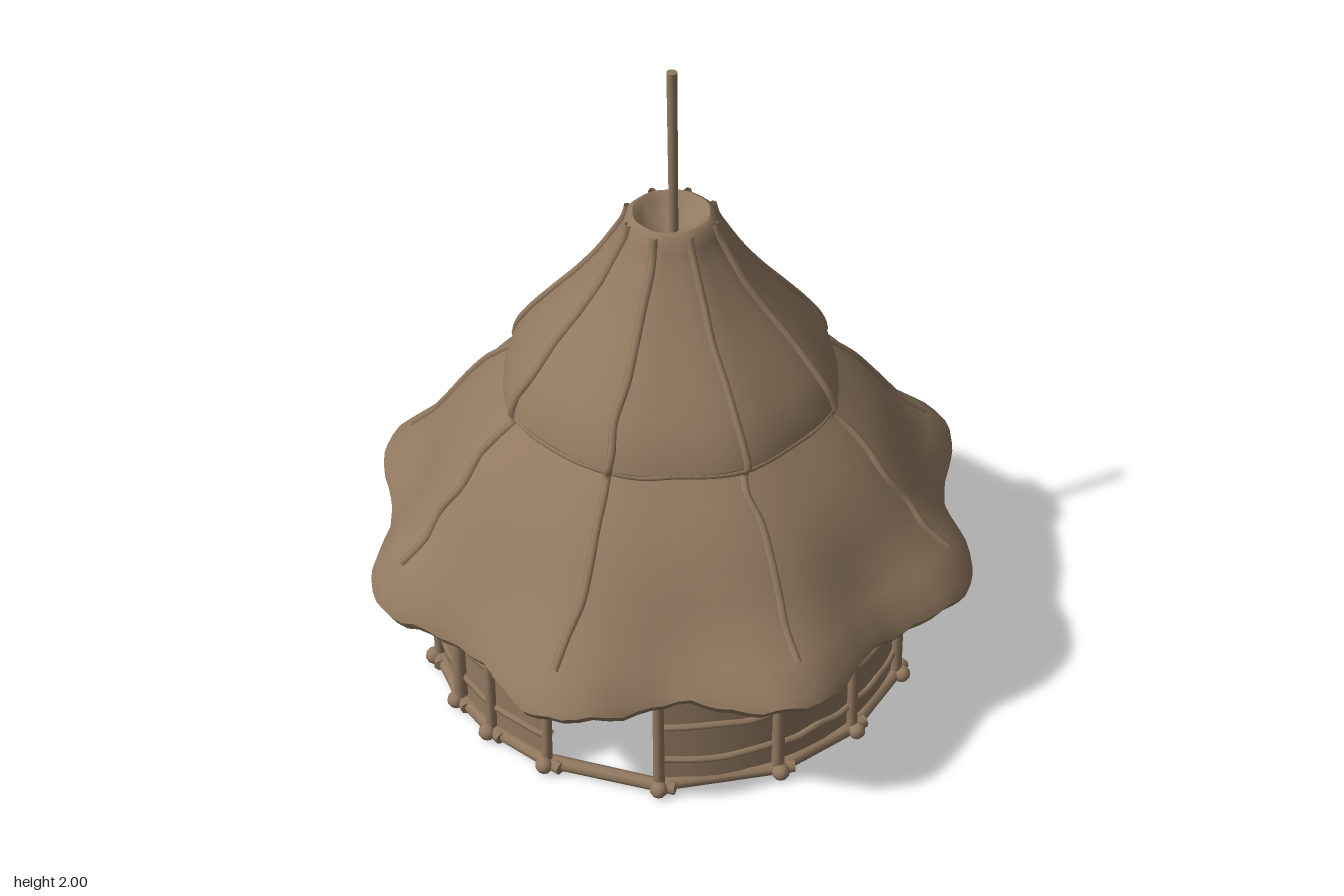
import * as THREE from 'three';
import { toCreasedNormals } from 'three/addons/utils/BufferGeometryUtils.js';

const thatch = new THREE.MeshStandardMaterial({ color: 0x927960, side: THREE.DoubleSide });
thatch.name = 'dry brown thatch';

const WALL = 0.72;
const rad = (d) => (d * Math.PI) / 180;
const polar = (r, y, deg) => new THREE.Vector3(r * Math.sin(rad(deg)), y, r * Math.cos(rad(deg)));

// Small seeded random, -1..1
let seed = 7;
const jitter = () => {
  seed = (seed * 16807) % 2147483647;
  return (seed / 2147483647) * 2 - 1;
};

// Outer thatch profile, bottom to top: radius, height
const OUTER = [
  [0.872, 0.435], [0.89, 0.465], [0.875, 0.5], [0.815, 0.565], [0.758, 0.63], [0.715, 0.7],
  [0.66, 0.785], [0.59, 0.87], [0.525, 0.93], [0.482, 0.97], [0.493, 0.99], [0.475, 1.045],
  [0.43, 1.11], [0.355, 1.2], [0.28, 1.285], [0.215, 1.37], [0.165, 1.45], [0.137, 1.5], [0.126, 1.54],
];
// Underside, apex down to the rim, and the dish at the top
const INNER = [[0.001, 1.42], [0.1, 1.4], [0.3, 1.19], [0.43, 1.02], [0.6, 0.8], [0.7, 0.65], [0.78, 0.54], [0.845, 0.45]];
const DISH = [[0.11, 1.55], [0.09, 1.535], [0.065, 1.5], [0.001, 1.485]];

// Scalloped, uneven thatch: bulges at the eight ribs, ragged along the rim
function thatchPoint(r, y, a) {
  const rim = THREE.MathUtils.smoothstep(r, 0.66, 0.88);
  const lip = THREE.MathUtils.smoothstep(0.52 - y, 0, 0.06);
  const wave = Math.cos(8 * a);
  const rr = r + 0.045 * rim * wave + 0.006 * Math.min(1, r * 2) * wave + 0.006 * rim * Math.sin(5 * a + 1);
  const rag = 0.009 * Math.sin(19 * a) + 0.007 * Math.sin(43 * a + 2) + 0.012 * Math.sin(3 * a + 0.5);
  return new THREE.Vector3(rr * Math.sin(a), y + lip * rag, rr * Math.cos(a) * (1 + 0.03 * rim));
}

function add(group, name, geometry) {
  const mesh = new THREE.Mesh(geometry, thatch);
  mesh.name = name;
  group.add(mesh);
  return mesh;
}

// Round stick between two points, with a slight taper
function stick(group, name, a, b, r, r2 = r) {
  const mesh = add(group, name, new THREE.CylinderGeometry(r2, r, a.distanceTo(b), 8));
  mesh.position.copy(a).add(b).multiplyScalar(0.5);
  mesh.quaternion.setFromUnitVectors(new THREE.Vector3(0, 1, 0), b.clone().sub(a).normalize());
  return mesh;
}

function tube(group, name, points, r, steps) {
  add(group, name, new THREE.TubeGeometry(new THREE.CatmullRomCurve3(points), steps, r, 6));
}

function buildRoof() {
  const roof = new THREE.Group();
  roof.name = 'roof';
  const profile = [...INNER, ...OUTER, ...DISH].map(([r, y]) => new THREE.Vector2(r, y));
  const geo = new THREE.LatheGeometry(profile, 144);
  const pos = geo.attributes.position;
  for (let i = 0; i < pos.count; i++) {
    const x = pos.getX(i), z = pos.getZ(i);
    const p = thatchPoint(Math.hypot(x, z), pos.getY(i), Math.atan2(x, z));
    pos.setXYZ(i, p.x, p.y, p.z);
  }
  add(roof, 'thatch', toCreasedNormals(geo, 0.75));

  // Poles pressed into the thatch
  for (let k = 0; k < 8; k++) {
    const path = OUTER.slice(3).map(([r, y]) => thatchPoint(r + 0.002, y, rad(k * 45 + 1.2 * jitter())));
    tube(roof, 'roofRib', path, 0.012, 60);
  }
  // Binding under the upper tier
  const band = [];
  for (let k = 0; k < 32; k++) band.push(thatchPoint(0.487, 0.98 + 0.005 * jitter(), rad(k * 11.25)));
  add(roof, 'tierEdge', new THREE.TubeGeometry(new THREE.CatmullRomCurve3(band, true), 96, 0.009, 6, true));

  stick(roof, 'centrePole', new THREE.Vector3(0.008, 1.46, 0), new THREE.Vector3(0.002, 2, 0), 0.014, 0.016);
  return roof;
}

function buildWalls() {
  const walls = new THREE.Group();
  walls.name = 'walls';
  // Post bearings from the front; the doorway lies between the first two
  const posts = [-9, 18, 46, 68, 90, 130, 153, 184, 205, 248, 283, 305, 321, 334, 351];

  for (let i = 0; i < posts.length - 1; i++) {
    const a = posts[i], b = posts[i + 1], span = b - a;

    // Post with a knobbly foot
    const r = 0.02 + 0.004 * jitter();
    stick(walls, 'post', polar(0.737, 0.01, a), polar(0.727, 0.6, a + 0.6 * jitter()), r, r * 0.9);
    const foot = add(walls, 'postFoot', new THREE.SphereGeometry(0.027, 10, 8));
    foot.position.copy(polar(0.755, 0.027, a));

    // Base log, running past the post
    const from = polar(0.735, 0.025, a - 1), to = polar(0.735, 0.025, b);
    to.add(to.clone().sub(from).setLength(0.05));
    stick(walls, 'baseLog', from, to, 0.022, 0.02);

    if (i === 0) continue; // doorway stays open

    // Woven panel
    const section = [[WALL - 0.01, 0.015], [WALL + 0.003, 0.015], [WALL + 0.003, 0.62], [WALL - 0.01, 0.62], [WALL - 0.01, 0.015]];
    const geo = new THREE.LatheGeometry(
      section.map(([x, y]) => new THREE.Vector2(x, y)), Math.ceil(span / 5), rad(a), rad(span));
    add(walls, 'wallPanel', toCreasedNormals(geo, 0.6));

    // Rails outside and inside
    for (const y of [0.12, 0.25, 0.38, 0.5]) {
      for (const rr of [WALL + 0.007, WALL - 0.013]) {
        const pts = [0, 0.25, 0.5, 0.75, 1].map((t) => polar(rr, y + 0.007 * jitter(), a + span * t));
        tube(walls, 'rail', pts, 0.011, 12);
      }
    }
  }
  // One long base log sticking out at the back left
  stick(walls, 'longLog', polar(0.735, 0.03, 152), polar(0.83, 0.03, 112), 0.02);
  stick(walls, 'longLog', polar(0.735, 0.03, 184), polar(0.845, 0.03, 166), 0.02);
  return walls;
}

export function createModel() {
  const hut = new THREE.Group();
  hut.name = 'roundHut';
  hut.add(buildWalls(), buildRoof());
  return hut;
}
